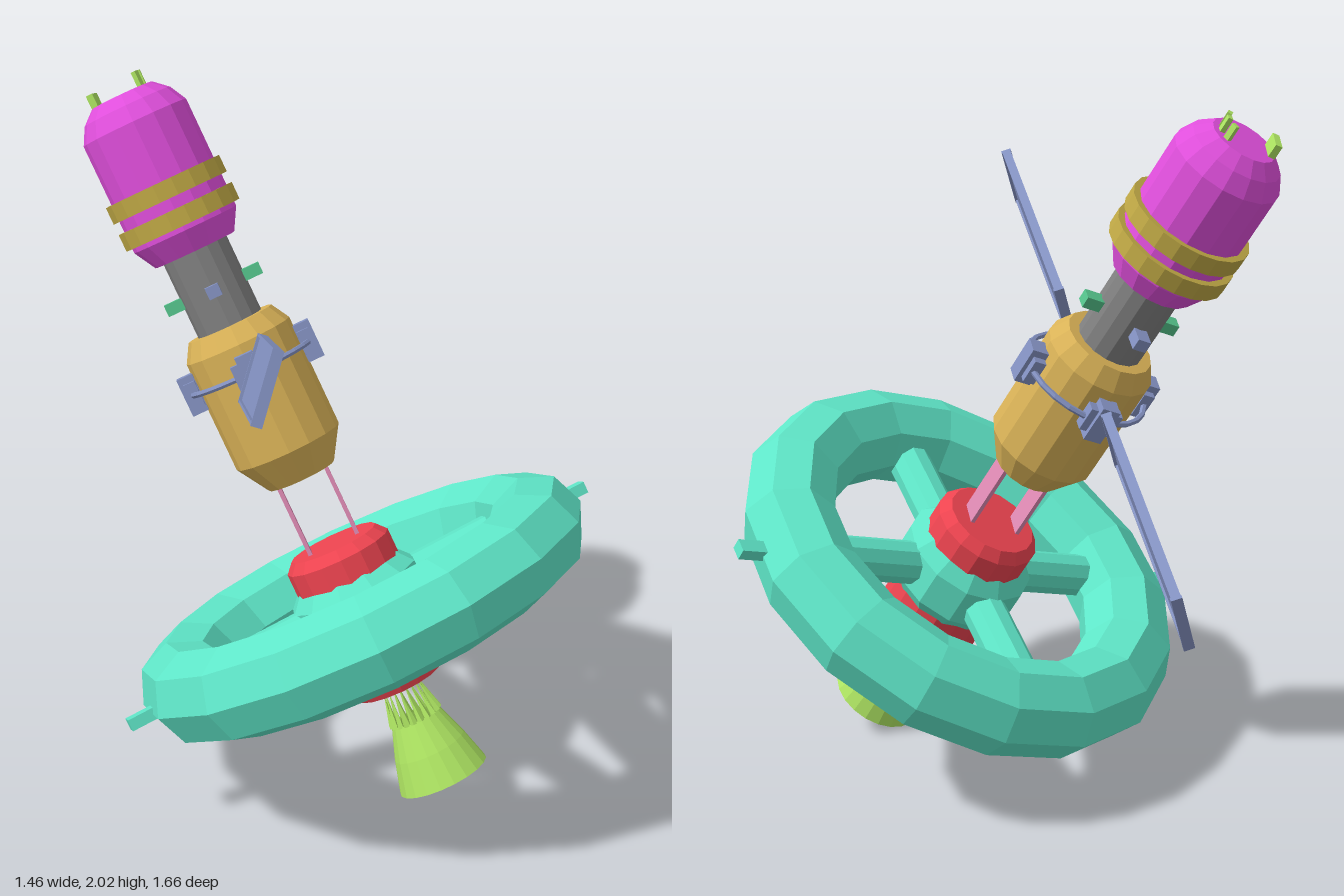
import * as THREE from 'three';

const DEG = Math.PI / 180;
const mat = (color) => new THREE.MeshStandardMaterial({ color, flatShading: true, side: THREE.DoubleSide });
const M = {
  teal: mat(0x5fe6c8), red: mat(0xee4450), yellow: mat(0xd9b257), magenta: mat(0xe04fdc),
  band: mat(0xbfa845), grey: mat(0x808080), lime: mat(0xaee562), pink: mat(0xdf8ab4),
  blue: mat(0x8492c2), green: mat(0x55c48c),
};

function add(parent, name, geometry, material, x = 0, y = 0, z = 0) {
  const mesh = new THREE.Mesh(geometry, material);
  mesh.name = name;
  mesh.position.set(x, y, z);
  parent.add(mesh);
  return mesh;
}

// Turned part from [radius, height] pairs
const lathe = (points, sides = 16) =>
  new THREE.LatheGeometry(points.map(([r, y]) => new THREE.Vector2(r, y)), sides);
const box = (x, y, z) => new THREE.BoxGeometry(x, y, z);

// Group whose +x points outwards at an angle around the station's axis
function spoke(parent, name, degrees) {
  const g = new THREE.Group();
  g.name = name;
  g.rotation.y = -degrees * DEG;
  parent.add(g);
  return g;
}

export function createModel() {
  const model = new THREE.Group();
  model.name = 'spaceStation';

  // Everything is built along y, then leaned back
  const station = new THREE.Group();
  station.name = 'station';
  station.rotation.x = -32.3 * DEG;
  station.position.set(0, 0.078, 0.52);
  model.add(station);

  // Engine bell with a crown of spikes
  add(station, 'engineBell', lathe([[0.14, 0], [0.112, 0.1], [0.076, 0.2]], 20), M.lime);
  for (let i = 0; i < 20; i++) {
    const g = spoke(station, 'bellSpike', i * 18);
    const spike = add(g, 'bellSpike', new THREE.ConeGeometry(0.011, 0.1, 4), M.lime, 0.066, 0.245, 0);
    spike.rotation.z = 0.16;
  }

  // Core running through the wheel
  add(station, 'core', lathe([[0, 0.315], [0.135, 0.315], [0.162, 0.375], [0.162, 0.745], [0.135, 0.775], [0, 0.775]]), M.red);
  add(station, 'wheelHub', lathe([[0.16, 0.47], [0.2, 0.52], [0.2, 0.635], [0.16, 0.68]], 12), M.teal);

  // Habitat wheel
  const rim = add(station, 'habitatWheel', new THREE.TorusGeometry(0.57, 0.14, 8, 16), M.teal, 0, 0.576, 0);
  rim.rotation.x = Math.PI / 2;
  for (let i = 0; i < 4; i++) {
    const g = spoke(station, 'wheelSpoke', 32 + i * 90);
    const bar = add(g, 'spokeTube', new THREE.CylinderGeometry(0.065, 0.065, 0.34, 10), M.teal, 0.31, 0.576, 0);
    bar.rotation.z = Math.PI / 2;
    if (i % 2 === 0) add(g, 'dockingPort', box(0.09, 0.035, 0.045), M.teal, 0.725, 0.576, 0);
  }

  // Flat struts joining the core to the main module
  for (const side of [45, 225]) {
    add(spoke(station, 'strut', side), 'strutPlate', box(0.012, 0.27, 0.075), M.pink, 0.075, 0.89, 0);
  }

  // Main module with its clamp ring
  add(station, 'mainModule', lathe([[0, 0.995], [0.105, 0.995], [0.164, 1.09], [0.164, 1.43], [0.132, 1.485], [0, 1.485]]), M.yellow);
  const ring = add(station, 'clampRing', new THREE.TorusGeometry(0.188, 0.009, 6, 24), M.blue, 0, 1.345, 0);
  ring.rotation.x = Math.PI / 2;
  for (let i = 0; i < 4; i++) {
    const g = spoke(station, 'clamp', 45 + i * 90);
    add(g, 'clampBlock', box(0.05, 0.115, 0.055), M.blue, 0.185, 1.345, 0);
    add(g, 'clampWing', box(0.035, 0.075, 0.1), M.blue, 0.18, 1.345, 0);
    // Sensors on the neck, alternating in colour
    add(g, 'neckSensor', box(0.06, 0.035, 0.04), i % 2 ? M.blue : M.green, 0.12, 1.595, 0);
  }

  // Neck
  add(station, 'neck', new THREE.CylinderGeometry(0.1, 0.1, 0.28, 16), M.grey, 0, 1.6, 0);

  // Solar panels, both pitched the same way
  const wings = new THREE.Group();
  wings.name = 'solarPanels';
  wings.position.y = 1.36;
  wings.rotation.set(-48.6 * DEG, 47 * DEG, 0, 'YXZ');
  station.add(wings);
  for (const s of [-1, 1]) {
    add(wings, 'solarPanel', box(0.67, 0.014, 0.18), M.blue, s * 0.629, 0, 0);
    for (const e of [-1, 1]) {
      add(wings, 'panelEndRail', box(0.012, 0.03, 0.2), M.blue, s * 0.629 + e * 0.35, 0, 0);
      add(wings, 'panelSideRail', box(0.7, 0.026, 0.008), M.blue, s * 0.629, 0, e * 0.096);
    }
  }

  // Front module with two bands
  add(station, 'commandModule', lathe([[0, 1.72], [0.125, 1.72], [0.162, 1.785], [0.162, 2.12], [0.135, 2.17], [0.095, 2.205], [0, 2.205]]), M.magenta);
  for (const y of [1.825, 1.91]) {
    add(station, 'band', lathe([[0.16, y - 0.026], [0.181, y - 0.026], [0.181, y + 0.026], [0.16, y + 0.026]], 20), M.band);
  }

  // Antennas on the nose
  for (const a of [20, 50, 75]) {
    add(spoke(station, 'antenna', a), 'antennaPin', box(0.014, 0.06, 0.018), M.lime, 0.07, 2.22, 0);
  }
  add(spoke(station, 'noseFin', 235), 'noseFinPlate', box(0.02, 0.05, 0.065), M.lime, 0.08, 2.22, 0);

  return model;
}
